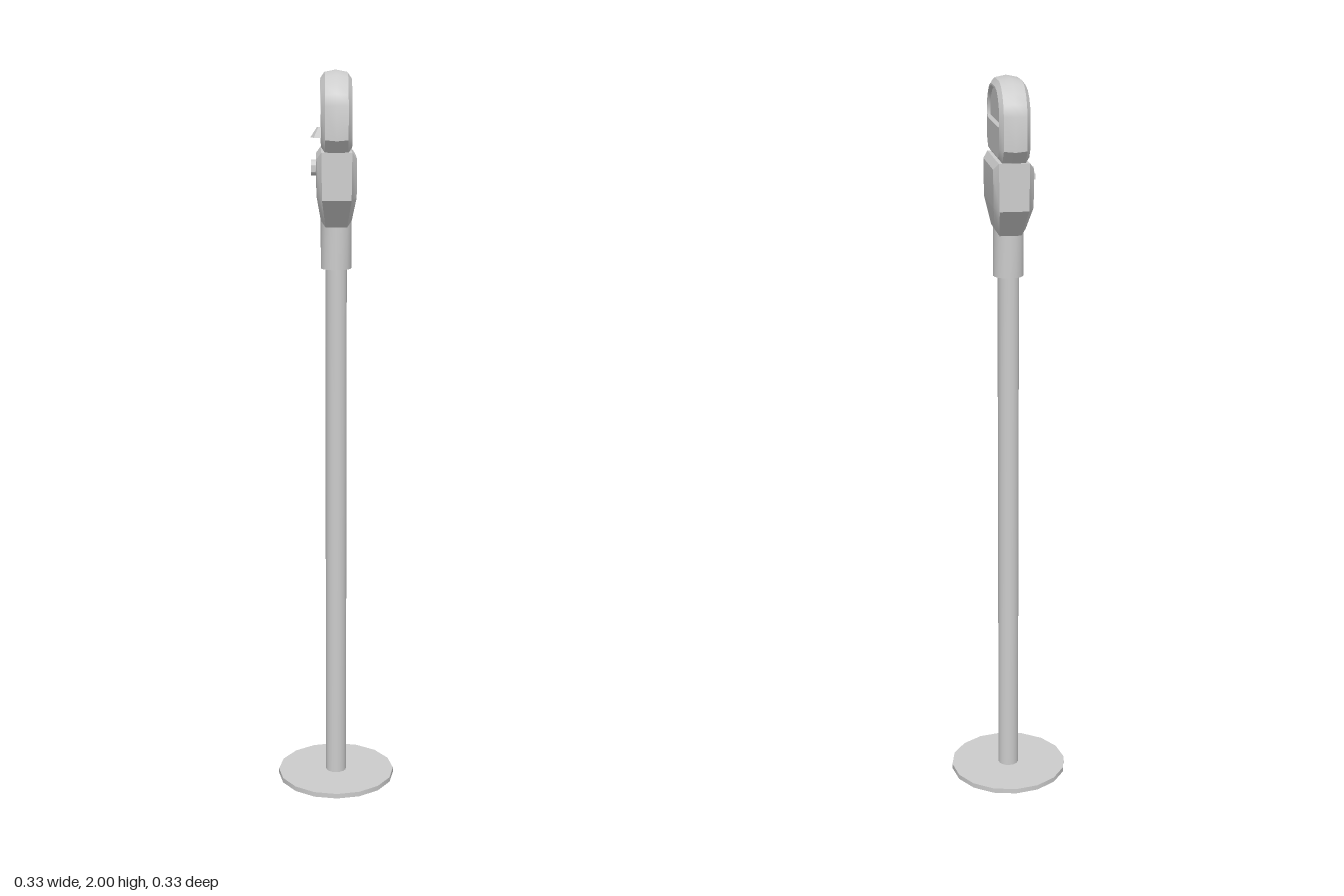
import * as THREE from 'three';
import { toCreasedNormals } from 'three/addons/utils/BufferGeometryUtils.js';

const material = new THREE.MeshStandardMaterial({ color: 0xcccccc });

function add(parent, name, geometry, x = 0, y = 0, z = 0) {
  const mesh = new THREE.Mesh(toCreasedNormals(geometry, 0.6), material);
  mesh.name = name;
  mesh.position.set(x, y, z);
  parent.add(mesh);
  return mesh;
}

// Right half of an outline, bottom to top, completed by its mirror image
const mirror = (half) => [...half, ...half.map(([x, y]) => [-x, y]).reverse()];

// Moves every edge of a counter-clockwise outline inwards by d
function inset(points, d) {
  const n = points.length;
  const normal = (a, b) => {
    const l = Math.hypot(b[0] - a[0], b[1] - a[1]);
    return [-(b[1] - a[1]) / l, (b[0] - a[0]) / l];
  };
  return points.map((p, i) => {
    const m = normal(points[(i + n - 1) % n], p);
    const k = normal(p, points[(i + 1) % n]);
    const s = d / (1 + m[0] * k[0] + m[1] * k[1]);
    return [p[0] + (m[0] + k[0]) * s, p[1] + (m[1] + k[1]) * s];
  });
}

// Joins rings of 3D points; capped ends are closed with strips between mirrored points
function loft(rings, capStart, capEnd) {
  const n = rings[0].length;
  const index = [];
  const quad = (a, b, c, d) => index.push(a, b, c, a, c, d);
  for (let k = 0; k < rings.length - 1; k++) {
    for (let i = 0; i < n; i++) {
      const j = (i + 1) % n;
      quad(k * n + i, k * n + j, k * n + n + j, k * n + n + i);
    }
  }
  const last = (rings.length - 1) * n;
  for (let i = 0; i < n / 2 - 1; i++) {
    if (capEnd) quad(last + i, last + i + 1, last + n - 2 - i, last + n - 1 - i);
    if (capStart) quad(n - 1 - i, n - 2 - i, i + 1, i);
  }
  const geometry = new THREE.BufferGeometry();
  geometry.setAttribute('position', new THREE.Float32BufferAttribute(rings.flat(2), 3));
  geometry.setIndex(index);
  geometry.computeVertexNormals();
  return geometry;
}

const toShape = (points) => new THREE.Shape(points.map(([x, y]) => new THREE.Vector2(x, y)));

export function createModel() {
  const model = new THREE.Group();
  model.name = 'parkingMeter';

  // Base, pole and collar
  add(model, 'basePlate', new THREE.CylinderGeometry(0.166, 0.166, 0.014, 16), 0, 0.007, 0);
  add(model, 'pole', new THREE.CylinderGeometry(0.029, 0.029, 1.5, 16), 0, 0.75, 0);
  add(model, 'collar', new THREE.CylinderGeometry(0.041, 0.041, 0.15, 16), 0, 1.555, 0);

  // Head is drawn in the xy plane and turned so its faces look along x
  const head = new THREE.Group();
  head.name = 'head';
  head.rotation.y = Math.PI / 2;
  model.add(head);

  // Lower housing, thinner towards the collar
  const lower = mirror([[0.045, 1.595], [0.118, 1.672], [0.116, 1.795]]);
  const lowerRing = (d, depth) => inset(lower, d).map(([x, y]) => {
    const t = THREE.MathUtils.clamp((1.685 - y) / 0.09, 0, 1);
    return [x, y, depth * (1 - 0.28 * t)];
  });
  add(head, 'lowerHousing', loft([
    lowerRing(0.017, -0.053), lowerRing(0, -0.04), lowerRing(0, 0.04), lowerRing(0.017, 0.053),
  ], true, true));

  // Upper housing with a crowned rim
  const upper = mirror([
    [0.11, 1.788], [0.142, 1.826], [0.142, 1.915], [0.133, 1.944],
    [0.113, 1.97], [0.083, 1.99], [0.045, 2],
  ]);
  const layers = [[0.02, -0.04], [0.006, -0.03], [0, 0], [0.006, 0.03], [0.02, 0.04]];
  add(head, 'upperHousing', loft(
    layers.map(([d, z]) => inset(upper, d).map(([x, y]) => [x, y, z])), false, false));

  // Face plates with a recessed window on both sides
  const arch = inset(upper, 0.025).slice(2, 7);
  const windowOutline = mirror([[0.112, 1.885], [0.117, 1.891], ...arch]);
  const faceShape = toShape(inset(upper, 0.02));
  faceShape.holes.push(toShape(windowOutline));
  for (const turn of [0, Math.PI]) {
    const face = new THREE.Group();
    face.name = turn ? 'backFace' : 'frontFace';
    face.rotation.y = turn;
    head.add(face);
    add(face, 'facePlate', new THREE.ShapeGeometry(faceShape), 0, 0, 0.04);
    const sill = inset(windowOutline, 0.006);
    add(face, 'window', loft([
      windowOutline.map(([x, y]) => [x, y, 0.04]),
      sill.map(([x, y]) => [x, y, 0.032]),
    ], false, true));
  }

  // Coin chute: a half-sunk octagonal frustum
  add(model, 'coinChute', new THREE.CylinderGeometry(0.012, 0.029, 0.026, 8), -0.039, 1.845, 0.077);

  // Turn handle: round hub with a cross bar
  const hub = new THREE.CylinderGeometry(0.021, 0.021, 0.02, 16).rotateZ(Math.PI / 2);
  add(model, 'handleHub', hub, -0.056, 1.748, 0);
  add(model, 'handleBar', new THREE.BoxGeometry(0.012, 0.016, 0.078), -0.06, 1.748, 0);

  return model;
}
